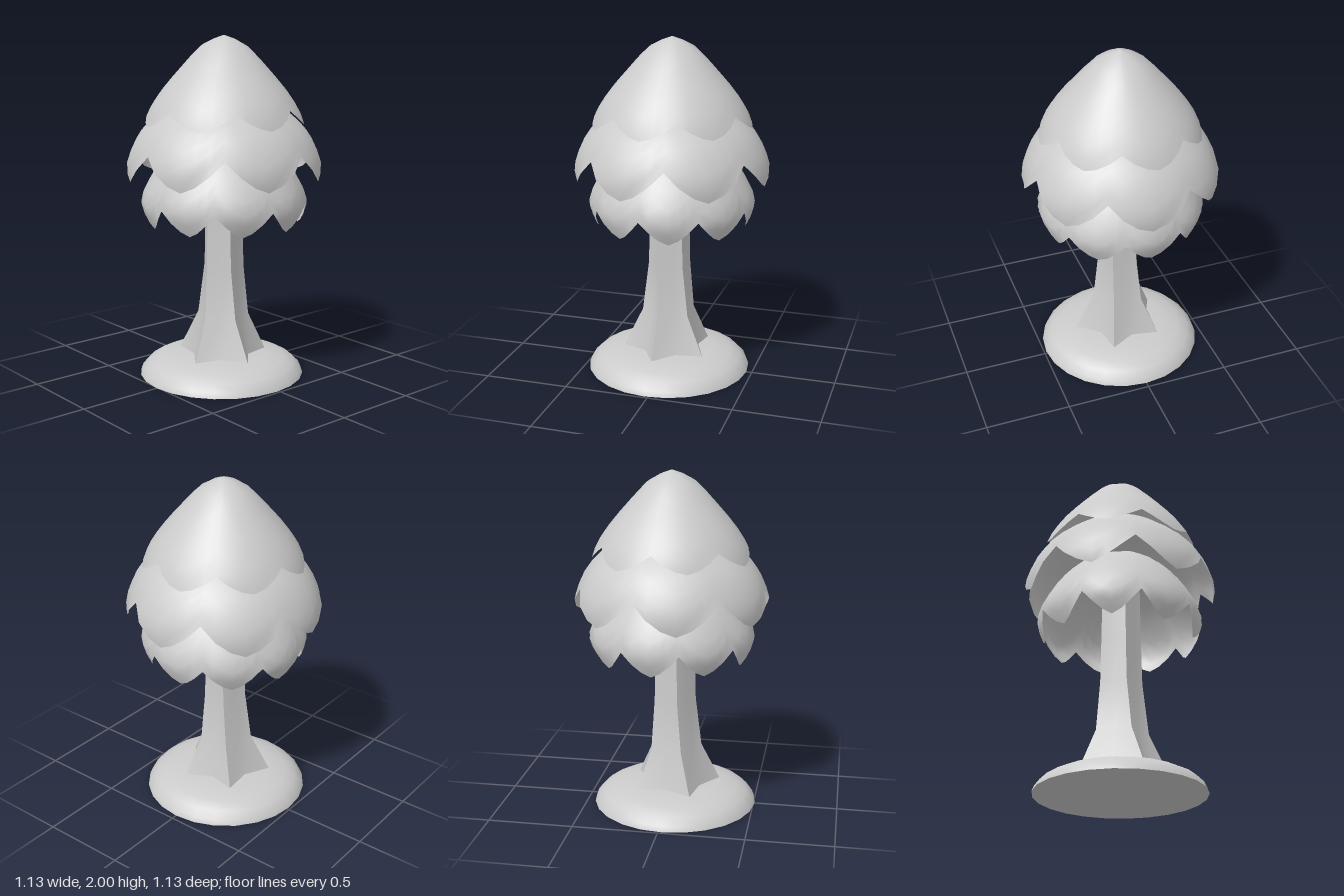
import * as THREE from 'three';
import { toCreasedNormals } from 'three/addons/utils/BufferGeometryUtils.js';

const DEG = Math.PI / 180;

// Closed skin through rings listed from top to bottom; point(row, col) gives [x, y, z]
function loft(rows, cols, point) {
  const pos = [], index = [];
  for (let i = 0; i < rows; i++)
    for (let j = 0; j < cols; j++) pos.push(...point(i, j));
  for (let i = 0; i < rows - 1; i++)
    for (let j = 0; j < cols; j++) {
      const k = (j + 1) % cols;
      const a = i * cols + j, b = i * cols + k, c = a + cols, d = b + cols;
      index.push(a, c, b, b, c, d);
    }
  const g = new THREE.BufferGeometry();
  g.setAttribute('position', new THREE.Float32BufferAttribute(pos, 3));
  g.setIndex(index);
  g.computeVertexNormals();
  return g;
}

// Bell of foliage with a scalloped hem: rounded tips, pointed notches
function foliageLayer(name, { profile, scallops, phase, notch, tip }, material) {
  const per = 6, cols = scallops * per, rows = 9;
  const curve = new THREE.SplineCurve(profile.map(([r, y]) => new THREE.Vector2(r, y)));
  // Curve parameter at which the profile reaches a height
  const paramAt = (y) => {
    let lo = 0, hi = 1;
    for (let n = 0; n < 24; n++) {
      const mid = (lo + hi) / 2;
      if (curve.getPoint(mid).y > y) lo = mid; else hi = mid;
    }
    return lo;
  };
  const geometry = loft(rows, cols, (i, j) => {
    const t = Math.abs(2 * (j % per) / per - 1); // 1 at a notch, 0 at a tip
    const hem = tip + (notch - tip) * Math.pow(t, 1.5);
    const { x: r, y } = curve.getPoint(i / (rows - 1) * paramAt(hem));
    const a = phase * DEG + (j / cols) * Math.PI * 2;
    return [r * Math.sin(a), y, r * Math.cos(a)];
  });
  const mesh = new THREE.Mesh(geometry, material);
  mesh.name = name;
  return mesh;
}

export function createModel() {
  const group = new THREE.Group();
  group.name = 'tree';
  const grey = new THREE.MeshStandardMaterial({ color: 0xcccccc });
  const leaf = new THREE.MeshStandardMaterial({ color: 0xcccccc, side: THREE.DoubleSide });

  // Low domed mound with a flat underside
  const mound = [[0, 0], [0.487, 0], [0.475, 0.03], [0.435, 0.07], [0.375, 0.1], [0.27, 0.12], [0, 0.122]]
    .map(([r, y]) => new THREE.Vector2(r, y));
  const base = new THREE.Mesh(toCreasedNormals(new THREE.LatheGeometry(mound, 24), 0.8), grey);
  base.position.z = 0.02;
  base.name = 'groundMound';
  group.add(base);

  // Five-ridged trunk flaring into uneven roots: [y, ridge radius, valley radius, twist, centre z]
  const rings = [
    [1.45, 0, 0, -12, 0.015],
    [1.4, 0.115, 0.095, -12, 0.015],
    [0.95, 0.12, 0.097, -12, 0.015],
    [0.65, 0.127, 0.1, -11, 0.015],
    [0.35, 0.16, 0.115, -5, 0.018],
    [0.1, 0.28, 0.175, 0, 0.022],
  ];
  const roots = [17, 85, 154, 223, 297, 377];
  const trunkShape = loft(rings.length, 10, (i, j) => {
    const [y, ridge, valley, twist, cz] = rings[i];
    const k = Math.floor(j / 2), isValley = j % 2 === 1;
    const r = isValley ? valley : ridge;
    const a = (twist + (isValley ? (roots[k] + roots[k + 1]) / 2 : roots[k])) * DEG;
    return [r * Math.sin(a), y, cz + r * Math.cos(a)];
  });
  const trunk = new THREE.Mesh(toCreasedNormals(trunkShape, 0.85), grey);
  trunk.name = 'trunk';
  group.add(trunk);

  // Three overlapping foliage layers
  group.add(
    foliageLayer('topFoliage', {
      profile: [[0, 2], [0.125, 1.945], [0.255, 1.81], [0.365, 1.68], [0.435, 1.57], [0.467, 1.48]],
      scallops: 7, phase: 7, notch: 1.585, tip: 1.49,
    }, leaf),
    foliageLayer('middleFoliage', {
      profile: [[0, 1.76], [0.22, 1.67], [0.385, 1.55], [0.48, 1.455], [0.537, 1.35], [0.566, 1.25], [0.55, 1.16]],
      scallops: 7, phase: -1, notch: 1.345, tip: 1.17,
    }, leaf),
    foliageLayer('bottomFoliage', {
      profile: [[0, 1.5], [0.2, 1.43], [0.34, 1.31], [0.43, 1.18], [0.483, 1.06], [0.465, 0.97], [0.425, 0.89]],
      scallops: 9, phase: 4, notch: 1.04, tip: 0.905,
    }, leaf),
  );
  return group;
}
